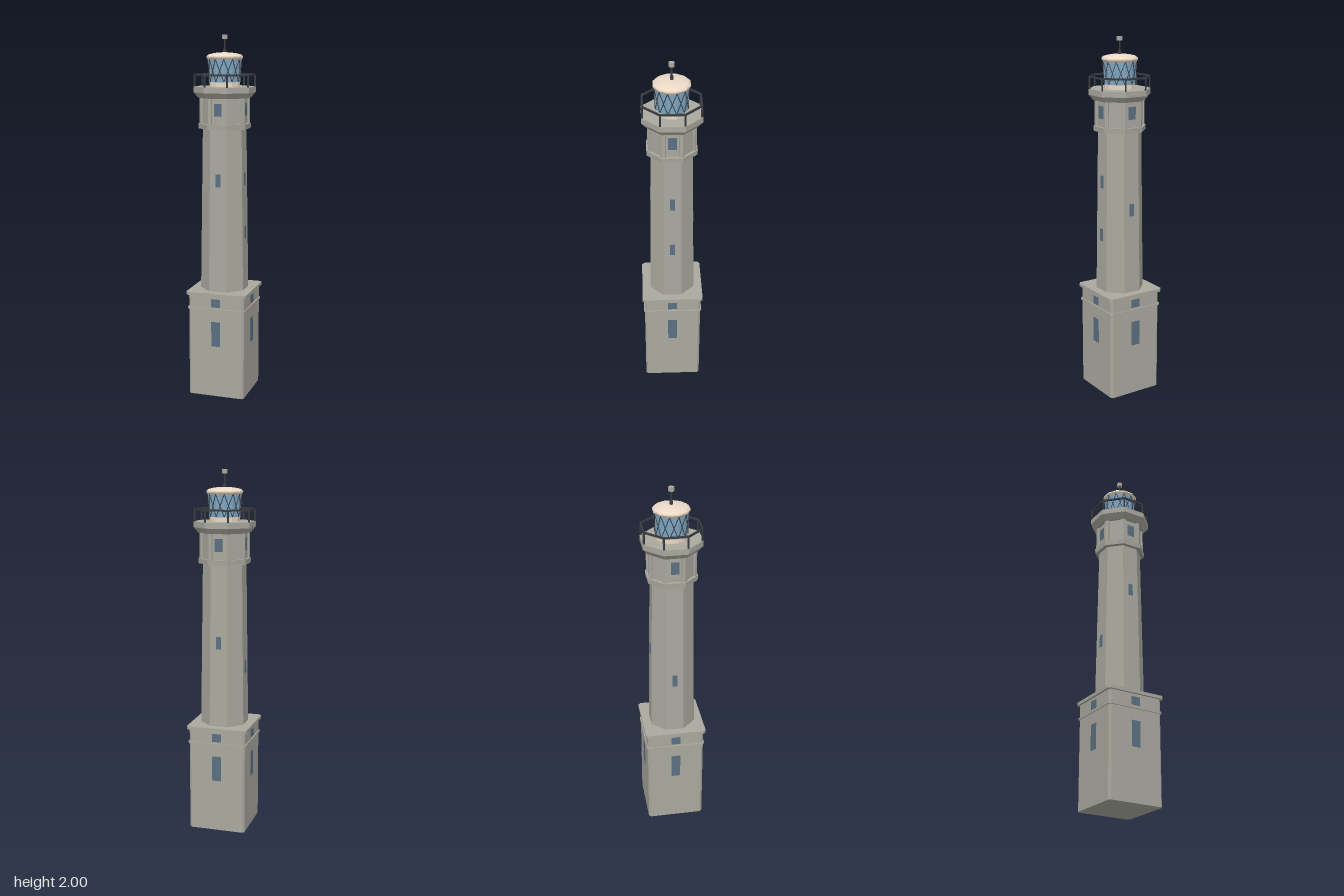
import * as THREE from 'three';

const mat = (color) => new THREE.MeshStandardMaterial({ color, flatShading: true });

export function createModel() {
  const model = new THREE.Group();
  const stone = mat(0xaaa99f), cream = mat(0xead9c5), glass = mat(0x7fa8c4);
  const metal = mat(0x3a3d42), pane = mat(0x5b7083);
  const K = Math.cos(Math.PI / 8);

  const add = (name, geo, material, parent = model) => {
    const m = new THREE.Mesh(geo, material);
    m.name = name;
    parent.add(m);
    return m;
  };
  // straight bar between two points
  const bar = (name, a, b, r, parent, sides = 4) => {
    const d = b.clone().sub(a);
    const m = add(name, new THREE.CylinderGeometry(r, r, d.length(), sides), metal, parent);
    m.position.copy(a).add(b).multiplyScalar(0.5);
    m.quaternion.setFromUnitVectors(new THREE.Vector3(0, 1, 0), d.normalize());
    return m;
  };
  const polar = (r, a, y) => new THREE.Vector3(Math.sin(a) * r, y, Math.cos(a) * r);
  // octagonal block given by its half widths across flats
  const octagon = (name, bottom, top, y0, y1) => {
    const g = new THREE.CylinderGeometry(top / K, bottom / K, y1 - y0, 8);
    g.rotateY(Math.PI / 8).translate(0, (y0 + y1) / 2, 0);
    return add(name, g, stone);
  };
  // flat outline raised from y0 to y1
  const slab = (points, y0, y1) => {
    const shape = new THREE.Shape(points.map(([x, y]) => new THREE.Vector2(x, y)));
    const g = new THREE.ExtrudeGeometry(shape, { depth: y1 - y0, bevelEnabled: false });
    return g.rotateX(-Math.PI / 2).translate(0, y0, 0);
  };
  const chamferedSquare = (h, c) => [
    [h, c - h], [h, h - c], [h - c, h], [c - h, h],
    [-h, h - c], [-h, c - h], [c - h, -h], [h - c, -h]];

  // square base with cut corners, string course and cap
  add('base', slab(chamferedSquare(0.16, 0.011), 0, 0.585), stone);
  add('baseMoulding', slab(chamferedSquare(0.166, 0.012), 0.5, 0.511), stone);
  add('baseCap', slab(chamferedSquare(0.172, 0.013), 0.582, 0.6), stone);

  // tapering shaft, watch room and gallery
  octagon('shaft', 0.124, 0.111, 0.6, 1.5);
  octagon('collar', 0.132, 0.134, 1.498, 1.526);
  octagon('watchRoom', 0.119, 0.119, 1.526, 1.67);
  octagon('cornice', 0.134, 0.156, 1.665, 1.694);
  octagon('galleryDeck', 0.158, 0.158, 1.694, 1.725);

  // corner piers bent round each edge of the watch room
  const pierPath = (apothem, arm) => {
    const r = apothem / K, t = Math.PI / 8;
    const dx = Math.cos(t) * arm, dy = Math.sin(t) * arm;
    return [[r - dy, -dx], [r, 0], [r - dy, dx]];
  };
  const outer = pierPath(0.128, 0.017), inner = pierPath(0.116, 0.015).reverse();
  for (let i = 0; i < 8; i++) {
    const pier = add('watchRoomPier', slab([...outer, ...inner], 1.526, 1.667), stone);
    pier.rotation.y = (i + 0.5) * Math.PI / 4;
  }

  // windows: [width, bottom, top, distance from axis at mid height]
  const shaftAt = (y) => 0.124 - 0.013 * (y - 0.6) / 0.9;
  const windows = new THREE.Group();
  windows.name = 'windows';
  model.add(windows);
  const addWindow = (side, w, y0, y1, dist, tilt = 0) => {
    const holder = new THREE.Group();
    holder.name = 'windowSide';
    holder.rotation.y = side * Math.PI / 2;
    windows.add(holder);
    const m = add('window', new THREE.BoxGeometry(w, y1 - y0, 0.004), pane, holder);
    m.position.set(0, (y0 + y1) / 2, dist);
    m.rotation.x = tilt;
  };
  for (let s = 0; s < 4; s++) {
    addWindow(s, 0.052, 0.293, 0.435, 0.16);
    addWindow(s, 0.052, 0.52, 0.566, 0.16);
    addWindow(s, 0.044, 1.57, 1.638, 0.119);
  }
  // shaft windows by side: front, left, back, right
  [[1.222], [1.222, 0.922], [1.072], [0.922]].forEach((ys, s) => ys.forEach((y) =>
    addWindow(s, 0.027, y - 0.035, y + 0.035, shaftAt(y), -0.0144)));

  // gallery railing
  const railing = new THREE.Group();
  railing.name = 'railing';
  model.add(railing);
  const railShape = new THREE.Shape();
  const hole = new THREE.Path();
  const ring = (path, apothem) => path.setFromPoints(Array.from({ length: 8 }, (_, i) => {
    const a = (i + 0.5) * Math.PI / 4;
    return new THREE.Vector2(Math.cos(a), Math.sin(a)).multiplyScalar(apothem / K);
  }));
  ring(railShape, 0.156);
  ring(hole, 0.148);
  railShape.holes.push(hole);
  const rail = new THREE.ExtrudeGeometry(railShape, { depth: 0.01, bevelEnabled: false });
  add('handrail', rail.rotateX(-Math.PI / 2).translate(0, 1.784, 0), metal, railing);
  for (let i = 0; i < 8; i++) {
    const a = (i + 0.5) * Math.PI / 4;
    bar('railingPost', polar(0.152 / K, a, 1.72), polar(0.152 / K, a, 1.786), 0.0055, railing);
  }

  // lantern: pedestal, glazing and crossed bars
  const twelve = (name, rTop, rBottom, y0, y1, material) => {
    const g = new THREE.CylinderGeometry(rTop, rBottom, y1 - y0, 12);
    return add(name, g.rotateY(Math.PI / 12).translate(0, (y0 + y1) / 2, 0), material);
  };
  twelve('lanternPedestal', 0.084, 0.084, 1.725, 1.752, cream);
  twelve('lanternGlass', 0.092, 0.086, 1.75, 1.876, glass);
  const lattice = new THREE.Group();
  lattice.name = 'lanternLattice';
  model.add(lattice);
  for (let i = 0; i < 12; i++) {
    const a = (i + 0.5) * Math.PI / 6, b = a + Math.PI / 6;
    bar('latticeBar', polar(0.087, a, 1.752), polar(0.093, b, 1.872), 0.0022, lattice);
    bar('latticeBar', polar(0.087, b, 1.752), polar(0.093, a, 1.872), 0.0022, lattice);
  }

  // shallow faceted roof
  const roof = [[0, 1.868], [0.092, 1.868], [0.1, 1.88], [0.098, 1.888], [0.086, 1.897],
    [0.06, 1.903], [0.03, 1.907], [0, 1.908]].map(([x, y]) => new THREE.Vector2(x, y));
  add('roof', new THREE.LatheGeometry(roof, 12).rotateY(Math.PI / 12), cream);

  // finial
  bar('mast', new THREE.Vector3(0, 1.9, 0), new THREE.Vector3(0, 1.985, 0), 0.005, model, 8);
  bar('mastFoot', new THREE.Vector3(0, 1.904, 0), new THREE.Vector3(0, 1.926, 0), 0.0095, model, 8);
  const tip = new THREE.CylinderGeometry(0.016, 0.016, 0.022, 8).rotateY(Math.PI / 8);
  add('finialCap', tip.translate(0, 1.989, 0), stone);

  return model;
}
